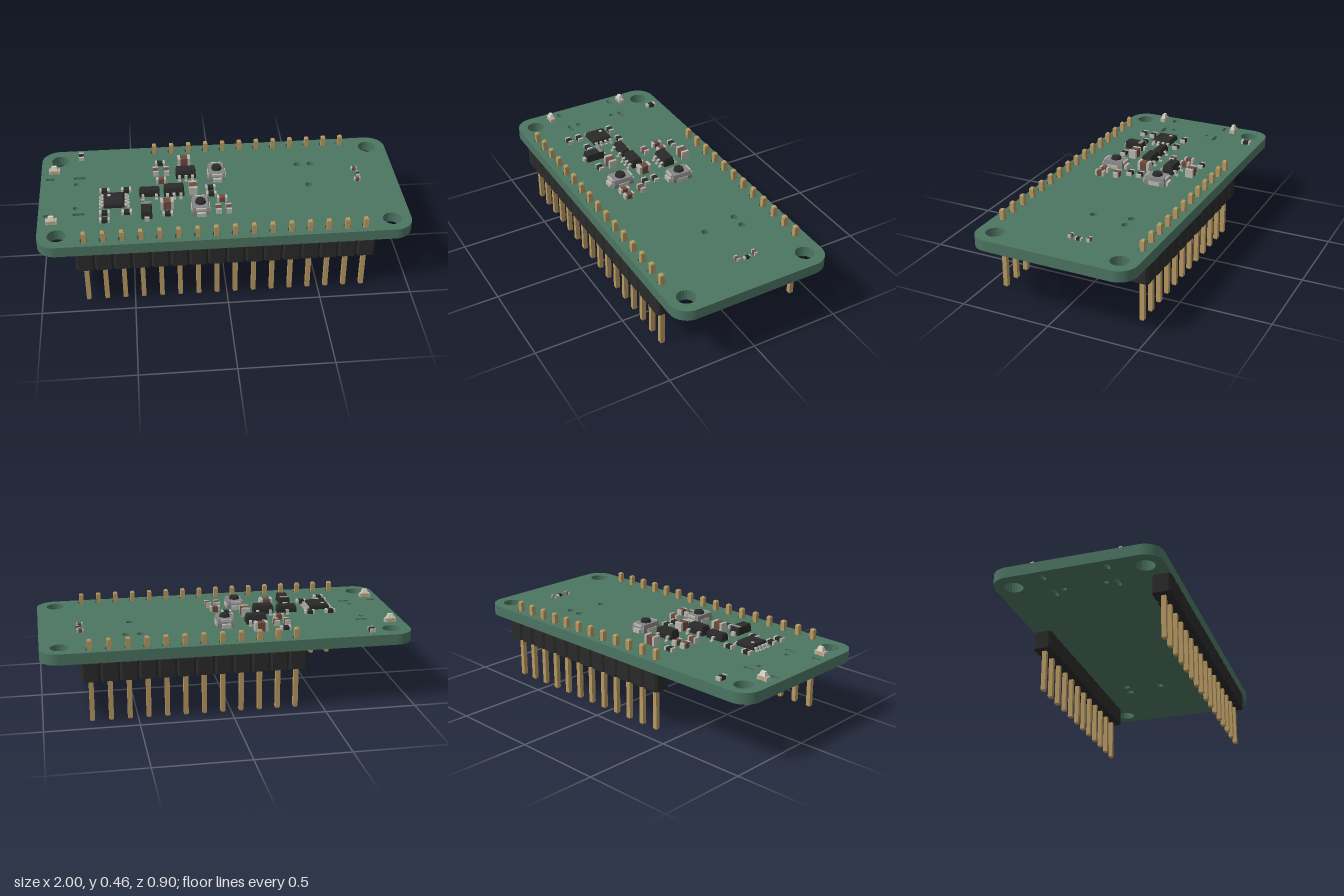
import * as THREE from 'three';

const mat = (color) => new THREE.MeshStandardMaterial({ color, flatShading: true });
const M = {
  board: mat(0x4c7562), dark: mat(0x2a2a2a), metal: mat(0xb9b9b0), pin: mat(0xb89a62),
  brown: mat(0x6e4a3b), steel: mat(0x858585), led: mat(0xd8d4c4), tan: mat(0xc4a878),
};
const TOP = 0.4, PITCH = 0.0995;

function add(parent, name, geometry, material, x = 0, y = 0, z = 0) {
  const mesh = new THREE.Mesh(geometry, material);
  mesh.name = name;
  mesh.position.set(x, y, z);
  parent.add(mesh);
  return mesh;
}

// box standing on height y, optionally narrowed towards its top
function block(parent, name, w, h, d, material, x, y, z, inset = 0) {
  const g = new THREE.BoxGeometry(w, h, d), p = g.attributes.position;
  for (let i = 0; i < p.count; i++) if (p.getY(i) > 0) {
    p.setX(i, p.getX(i) - Math.sign(p.getX(i)) * inset);
    p.setZ(i, p.getZ(i) - Math.sign(p.getZ(i)) * inset);
  }
  return add(parent, name, g, material, x, y + h / 2, z);
}

function group(parent, name, x, z, turned = false) {
  const g = new THREE.Group();
  g.name = name;
  g.position.set(x, TOP, z);
  if (turned) g.rotation.y = Math.PI / 2;
  parent.add(g);
  return g;
}

// flat outline in (x, -z), extruded upwards from y
function slab(parent, name, shape, h, material, y) {
  const g = new THREE.ExtrudeGeometry(shape, { depth: h, bevelEnabled: false, curveSegments: 10 });
  g.rotateX(-Math.PI / 2);
  return add(parent, name, g, material, 0, y, 0);
}

function pinXs(count) {
  return Array.from({ length: count }, (_, i) => 0.742 - i * PITCH);
}

function makeBoard(root) {
  const s = new THREE.Shape(), r = 0.1, X = 1, Z = 0.45;
  s.absarc(X - r, Z - r, r, 0, Math.PI / 2);
  s.absarc(-X + r, Z - r, r, Math.PI / 2, Math.PI);
  s.absarc(-X + r, -Z + r, r, Math.PI, Math.PI * 1.5);
  s.absarc(X - r, -Z + r, r, Math.PI * 1.5, Math.PI * 2);
  const hole = (x, z, rad) => s.holes.push(new THREE.Path().absarc(x, -z, rad, 0, Math.PI * 2, true));
  const slot = (x, z, half, rad) => {
    const p = new THREE.Path();
    p.absarc(x + half - rad, -z, rad, -Math.PI / 2, Math.PI / 2);
    p.absarc(x - half + rad, -z, rad, Math.PI / 2, Math.PI * 1.5);
    s.holes.push(p);
  };
  for (const sz of [-1, 1]) {
    for (const sx of [-1, 1]) hole(sx * 0.895, sz * 0.35, 0.05);
    slot(-0.945, sz * 0.17, 0.026, 0.011);
    slot(-0.78, sz * 0.17, 0.035, 0.011);
    hole(-0.8, sz * 0.112, 0.014);
  }
  for (const [x, z] of [[0.46, -0.203], [0.537, -0.203], [0.498, 0]]) hole(x, z, 0.02);
  for (const x of pinXs(16)) hole(x, 0.4, 0.022);
  for (const x of pinXs(12)) hole(x, -0.4, 0.022);
  slab(root, 'circuitBoard', s, 0.06, M.board, 0.34);
}

// black strip with chamfered cells and a row of square pins
function makeHeader(root, name, count, z) {
  const g = new THREE.Group();
  g.name = name;
  root.add(g);
  const front = [], back = [], h = PITCH / 2, c = 0.012;
  for (const x of pinXs(count).reverse()) {
    for (const [dx, dz] of [[-h, 0.05 - c], [-h + c, 0.05], [h - c, 0.05]]) {
      front.push(new THREE.Vector2(x + dx, -z - dz));
      back.unshift(new THREE.Vector2(x + dx, -z + dz));
    }
  }
  const end = 0.742 + h;
  front.push(new THREE.Vector2(end, -z - 0.05 + c));
  back.unshift(new THREE.Vector2(end, -z + 0.05 - c));
  slab(g, 'headerHousing', new THREE.Shape([...front, ...back]), 0.1, M.dark, 0.237);
  const k = Math.SQRT2;
  const profile = [[0, 0], [0.008, 0], [0.0125, 0.007], [0.0125, 0.448], [0.008, 0.455], [0, 0.455]]
    .map(([r, y]) => new THREE.Vector2(r * k, y));
  const pin = new THREE.LatheGeometry(profile, 4).rotateY(Math.PI / 4);
  for (const x of pinXs(count)) add(g, 'pin', pin, M.pin, x, 0, z);
}

// two-terminal chip: body between metal end caps
function chip(root, name, x, z, len, wid, h, material, turned) {
  const g = group(root, name, x, z, turned), cap = len * 0.22;
  block(g, 'chipBody', len - 2 * cap, h * 0.97, wid * 0.97, material, 0, 0, 0);
  for (const s of [-1, 1]) block(g, 'endCap', cap, h, wid, M.metal, s * (len - cap) / 2, 0, 0);
}

// gull-wing lead leaving the body towards +z
function lead(g, x, z, dir, w, reach, h) {
  block(g, 'leadShoulder', w, 0.008, reach * 0.5, M.metal, x, h, z + dir * reach * 0.25);
  block(g, 'leadLeg', w, h, 0.008, M.metal, x, 0.004, z + dir * reach * 0.5);
  block(g, 'leadFoot', w, 0.008, reach * 0.5, M.metal, x, 0, z + dir * reach * 0.75);
}

function moulded(root, name, x, z, w, d, h, nearLeads, farLeads, turned) {
  const g = group(root, name, x, z, turned);
  block(g, 'packageLower', w, h * 0.5, d, M.dark, 0, 0.006, 0);
  block(g, 'packageUpper', w, h * 0.5 - 0.006, d, M.dark, 0, 0.006 + h * 0.5, 0, 0.006);
  for (const lx of nearLeads) lead(g, lx, d / 2, 1, 0.016, 0.026, h * 0.4);
  for (const lx of farLeads) lead(g, lx, -d / 2, -1, 0.016, 0.026, h * 0.4);
  return g;
}

function button(root, x, z) {
  const g = group(root, 'pushButton', x, z);
  block(g, 'buttonBase', 0.094, 0.02, 0.122, M.steel, 0, 0.004, 0);
  block(g, 'buttonCover', 0.094, 0.025, 0.122, M.steel, 0, 0.024, 0, 0.006);
  for (const s of [-1, 1]) {
    block(g, 'buttonTerminal', 0.05, 0.022, 0.02, M.metal, 0, 0.003, s * 0.066);
    block(g, 'buttonClip', 0.056, 0.012, 0.014, M.metal, 0, 0.036, s * 0.058);
    block(g, 'sideTab', 0.006, 0.022, 0.065, M.metal, s * 0.048, 0.004, 0);
  }
  add(g, 'buttonCap', new THREE.CylinderGeometry(0.025, 0.03, 0.017, 20), M.dark, 0, 0.056, 0);
}

function led(root, z) {
  const g = group(root, 'indicatorLight', -0.925, z);
  block(g, 'lightBase', 0.034, 0.022, 0.03, M.tan, 0, 0, 0);
  for (const s of [-1, 1]) block(g, 'lightTerminal', 0.014, 0.022, 0.03, M.metal, s * 0.024, 0, 0);
  block(g, 'lightLens', 0.04, 0.024, 0.028, M.led, 0, 0.022, 0, 0.007);
}

export function createModel() {
  const root = new THREE.Group();
  root.name = 'circuitBoardModule';
  makeBoard(root);
  makeHeader(root, 'frontHeader', 16, 0.4);
  makeHeader(root, 'backHeader', 12, -0.4);

  // resistors: x, z, turned
  for (const [x, z, t] of [[-0.642, -0.022], [-0.522, -0.022], [-0.642, 0.182], [-0.522, 0.182],
    [-0.642, 0.245], [-0.303, 0.214], [-0.325, -0.268], [-0.055, -0.006], [-0.055, 0.054],
    [-0.775, -0.375, true]]) chip(root, 'resistor', x, z, 0.056, 0.03, 0.02, M.dark, t);

  // small capacitors
  for (const [x, z, t] of [[-0.353, -0.18, true], [-0.292, -0.18, true], [-0.325, -0.09], [0, 0.11],
    [-0.027, 0.203, true], [0.028, 0.203, true]])
    chip(root, 'smallCapacitor', x, z, 0.056, 0.03, 0.03, M.brown, t);

  // large capacitors
  for (const [x, z, t] of [[-0.188, -0.262], [-0.303, 0.146], [-0.153, 0.012, true]])
    chip(root, 'largeCapacitor', x, z, 0.072, 0.045, 0.05, M.brown, t);

  // tiny parts near the antenna end
  for (const z of [-0.123, -0.018]) chip(root, 'tinyCapacitor', 0.775, z, 0.036, 0.018, 0.018, M.brown);
  chip(root, 'tinyResistor', 0.787, -0.07, 0.038, 0.02, 0.014, M.dark, true);

  // transistor and regulators
  moulded(root, 'transistor', -0.395, 0.025, 0.112, 0.05, 0.046, [-0.037, 0.037], [0], false);
  moulded(root, 'regulator', -0.26, 0.025, 0.112, 0.062, 0.056, [-0.037, 0, 0.037], [-0.037, 0.037], false);
  moulded(root, 'regulator', -0.185, -0.14, 0.112, 0.062, 0.056, [-0.037, 0, 0.037], [-0.037, 0.037], false);

  // eight-lead chip
  const four = [-0.045, -0.015, 0.015, 0.045];
  const ic = moulded(root, 'controllerChip', -0.59, 0.08, 0.114, 0.114, 0.034, four, four, true);
  add(ic, 'pinOneDot', new THREE.CylinderGeometry(0.01, 0.01, 0.002, 14), M.metal, 0.026, 0.035, -0.026);

  // diode with polarity band
  const diode = group(root, 'diode', -0.416, 0.195);
  block(diode, 'diodeBody', 0.06, 0.044, 0.11, M.dark, 0, 0.004, 0, 0.004);
  block(diode, 'polarityBand', 0.053, 0.002, 0.022, M.steel, 0, 0.048, -0.036);
  for (const s of [-1, 1]) block(diode, 'diodeLead', 0.026, 0.022, 0.016, M.metal, 0, 0, s * 0.06);

  button(root, -0.011, -0.133);
  button(root, -0.123, 0.178);
  led(root, -0.235);
  led(root, 0.235);
  return root;
}
